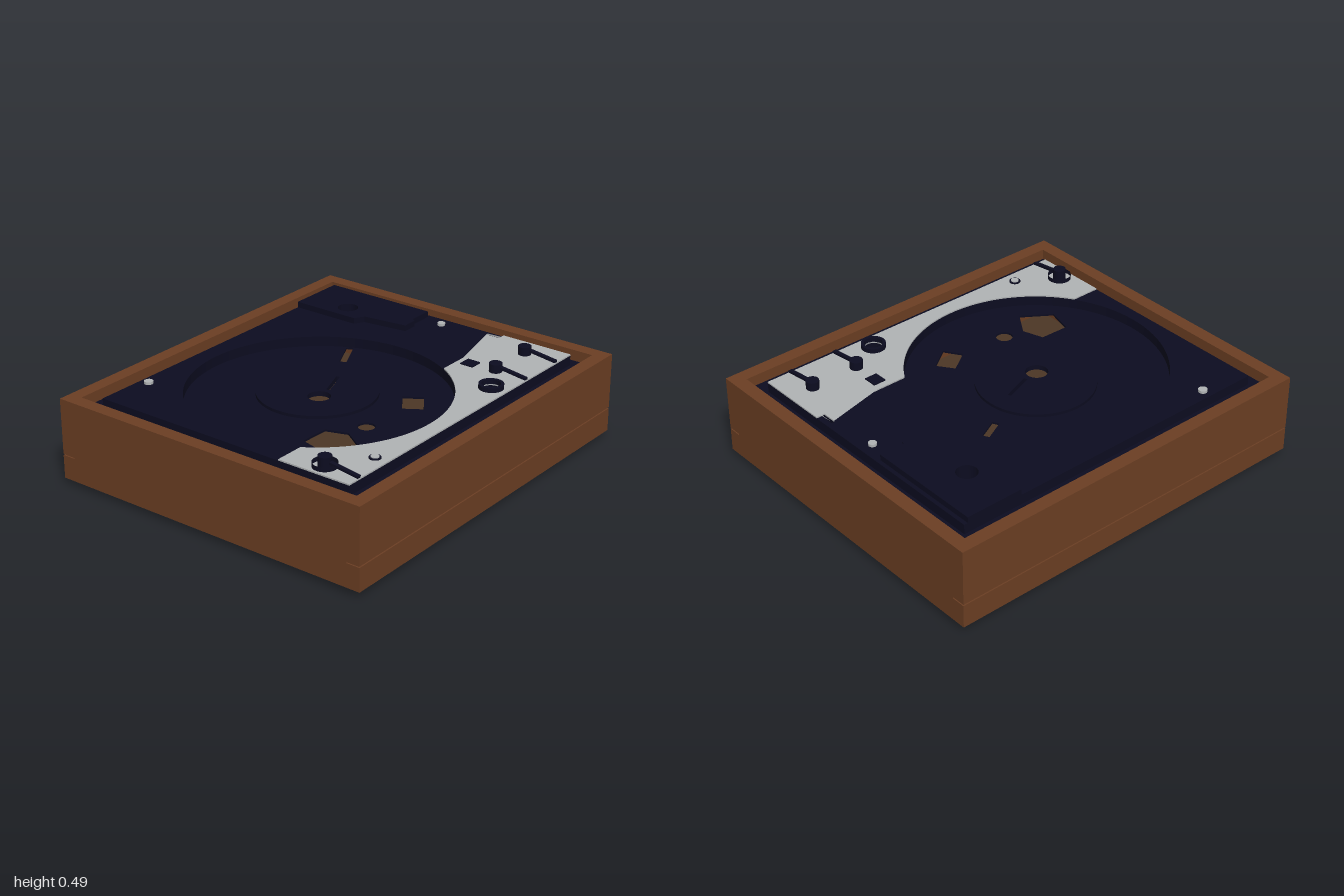
import * as THREE from 'three';

const mat = (name, color, side = THREE.FrontSide) => {
  const m = new THREE.MeshStandardMaterial({ color, side });
  m.name = name;
  return m;
};

export function createModel() {
  const wood = mat('walnut wood', 0x6b3e23);
  const board = mat('brown baseboard', 0x4c3725);
  const navy = mat('dark navy', 0x0c0c20, THREE.DoubleSide);
  const grey = mat('light grey metal', 0xb0b3b4);

  const root = new THREE.Group();
  root.name = 'turntable';

  const add = (name, geo, material, x = 0, y = 0, z = 0, parent = root) => {
    const m = new THREE.Mesh(geo, material);
    m.name = name;
    m.position.set(x, y, z);
    parent.add(m);
    return m;
  };
  const box = (name, material, x0, x1, y0, y1, z0, z1) =>
    add(name, new THREE.BoxGeometry(x1 - x0, y1 - y0, z1 - z0), material,
      (x0 + x1) / 2, (y0 + y1) / 2, (z0 + z1) / 2);
  const disc = (name, material, r, x, y0, y1, z) =>
    add(name, new THREE.CylinderGeometry(r, r, y1 - y0, 24), material, x, (y0 + y1) / 2, z);

  // Plan outlines are given as [x, z] pairs
  const poly = (pts, Type = THREE.Path) => new Type(pts.map(([x, z]) => new THREE.Vector2(x, -z)));
  const rect = (x0, x1, z0, z1, Type) => poly([[x0, z0], [x1, z0], [x1, z1], [x0, z1]], Type);
  const circle = (x, z, r, Type = THREE.Path) => new Type().absarc(x, -z, r, 0, Math.PI * 2, false);
  const slot = (x0, z0, x1, z1, w) => {
    const l = Math.hypot(x1 - x0, z1 - z0);
    const nx = -(z1 - z0) / l * w / 2, nz = (x1 - x0) / l * w / 2;
    return poly([[x0 + nx, z0 + nz], [x1 + nx, z1 + nz], [x1 - nx, z1 - nz], [x0 - nx, z0 - nz]]);
  };
  const sheet = (name, material, shape, holes, y0, y1) => {
    shape.holes.push(...holes);
    const g = new THREE.ExtrudeGeometry(shape, { depth: y1 - y0, bevelEnabled: false, curveSegments: 48 });
    return add(name, g.rotateX(-Math.PI / 2), material, 0, y0, 0);
  };

  // Hollow wooden plinth with a groove along the front and back
  const top = 0.435, foot = 0.03;
  for (const s of [-1, 1]) {
    const wall = (name, y0, y1, outer) =>
      box(name, wood, -outer, outer, y0, y1, Math.min(s * 0.795, s * (outer - 0.135)), Math.max(s * 0.795, s * (outer - 0.135)));
    wall('plinthWallLower', foot, 0.148, 1);
    wall('plinthGroove', 0.148, 0.155, 0.993);
    wall('plinthWallUpper', 0.155, top, 1);
    box('plinthSide', wood, s > 0 ? 0.93 : -1, s > 0 ? 1 : -0.93, foot, top, -0.795, 0.795);
    for (const t of [-1, 1]) {
      box('foot', navy, s * 0.885 - 0.047, s * 0.885 + 0.047, 0, foot + 0.008, t * 0.75 - 0.047, t * 0.75 + 0.047);
    }
  }
  box('baseboard', board, -0.93, 0.93, 0.036, 0.055, -0.795, 0.795);

  // Cut-outs that pass through the chassis
  const px = -0.18, wellR = 0.63;
  const spindleHole = () => circle(px, 0, 0.055);
  const cueSlot = () => slot(-0.1, -0.012, 0.05, -0.068, 0.018);
  const knobHole = () => circle(0.31, 0.628, 0.045);
  const armHole = () => circle(0.645, -0.47, 0.051);
  const edgeSlot = () => rect(0.827, 0.842, 0.25, 0.41);

  // Chassis floor, seen in the well and around the deck
  sheet('chassisFloor', navy, rect(-0.93, 0.93, -0.795, 0.795, THREE.Shape), [
    spindleHole(), cueSlot(), knobHole(), armHole(), edgeSlot(),
    slot(0.23, -0.18, 0.39, -0.26, 0.035),
    circle(-0.282, 0.353, 0.041),
    poly([[-0.57, 0.22], [-0.42, 0.225], [-0.385, 0.33], [-0.465, 0.45], [-0.605, 0.355]]),
    poly([[-0.03, 0.365], [0.08, 0.29], [0.137, 0.37], [0.025, 0.45]]),
  ], 0.37, 0.38);

  // Raised boss in the platter well
  sheet('bearingBoss', navy, circle(-0.13, -0.05, 0.29, THREE.Shape),
    [spindleHole(), cueSlot()], 0.38, 0.395);

  // Deck plate with the round platter well
  sheet('deckPlate', navy, rect(-0.87, 0.87, -0.72, 0.71, THREE.Shape),
    [circle(px, 0, wellR), knobHole(), armHole(), edgeSlot()], 0.38, 0.43);

  // Grey control panel, cut away along the well
  const panel = new THREE.Shape();
  const a = Math.asin(0.325 / wellR);
  panel.moveTo(-0.87, -0.325);
  panel.lineTo(-0.87, -0.71);
  panel.lineTo(0.87, -0.71);
  panel.lineTo(0.87, -0.325);
  panel.absarc(px, 0, wellR, -a, -Math.PI + a, true);
  panel.closePath();
  sheet('controlPanel', grey, panel, [knobHole(), edgeSlot()], 0.43, 0.437);

  // Tonearm mounting plate
  sheet('tonearmBase', navy, poly([[0.55, -0.72], [0.85, -0.72], [0.85, -0.12], [0.72, -0.12],
    [0.71, -0.1], [0.63, -0.1], [0.6, -0.33], [0.55, -0.36]], THREE.Shape), [armHole()], 0.43, 0.46);

  // Control levers: post and sloping arm
  for (const [x, z, h] of [[-0.8, 0.525, 0.49], [0.482, 0.537, 0.48], [0.74, 0.532, 0.48]]) {
    disc('leverPost', navy, 0.032, x, 0.435, h, z);
    const bar = add('leverArm', new THREE.BoxGeometry(0.02, 0.012, 0.71 - z), navy, x, 0.455, (0.71 + z) / 2);
    bar.rotation.x = 0.13;
  }

  // Thin collar around the left-hand lever, open at the top
  add('leverCollar', new THREE.CylinderGeometry(0.058, 0.058, 0.023, 24, 1, true), navy, -0.8, 0.448, 0.525);

  // Ring knob
  sheet('ringKnob', navy, circle(0.31, 0.628, 0.06, THREE.Shape), [knobHole()], 0.435, 0.46);

  // Square button
  box('squareButton', navy, 0.448, 0.514, 0.436, 0.443, 0.358, 0.428);

  // Metal pins
  disc('rearPin', grey, 0.022, -0.615, 0.43, 0.443, -0.67);
  disc('sidePin', grey, 0.02, 0.805, 0.43, 0.443, -0.005);
  disc('pinCollar', navy, 0.028, -0.605, 0.436, 0.443, 0.645);
  disc('frontPin', grey, 0.02, -0.605, 0.436, 0.447, 0.645);

  return root;
}
